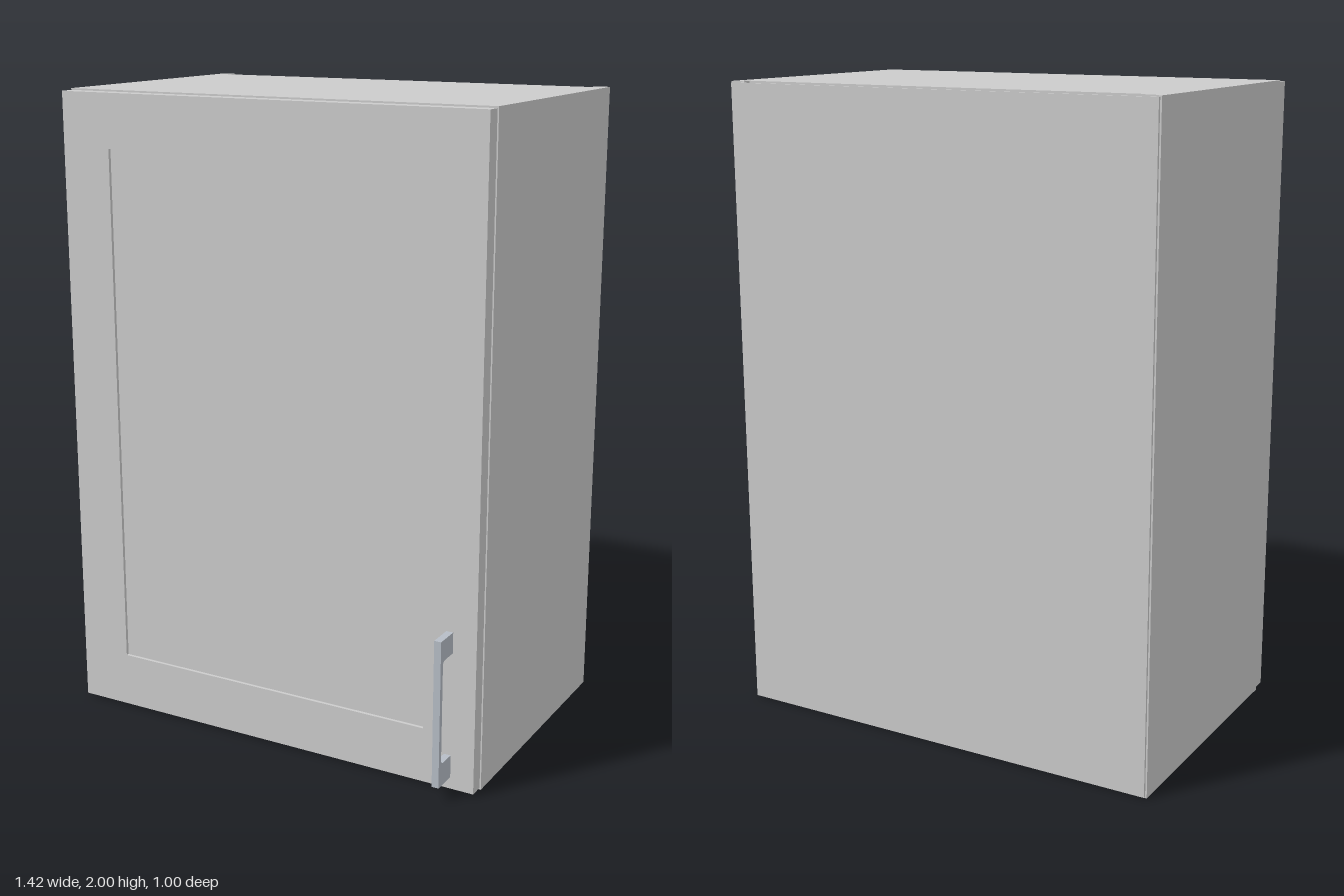
import * as THREE from 'three';

const grey = new THREE.MeshStandardMaterial({ color: 0xcccccc });
const steel = new THREE.MeshStandardMaterial({ color: 0xb6bdc6 });

// Box given by its minimum and maximum corners
function box(name, [x0, y0, z0], [x1, y1, z1]) {
  const mesh = new THREE.Mesh(new THREE.BoxGeometry(x1 - x0, y1 - y0, z1 - z0), grey);
  mesh.position.set((x0 + x1) / 2, (y0 + y1) / 2, (z0 + z1) / 2);
  mesh.name = name;
  return mesh;
}

function rectangle(Type, x0, y0, x1, y1) {
  return new Type([[x0, y0], [x1, y0], [x1, y1], [x0, y1]].map(p => new THREE.Vector2(...p)));
}

// Side board with a vertical groove near the rear edge, extruded upwards
function sidePanel(side) {
  const plan = [[0.71, -0.49], [0.71, 0.367], [0.662, 0.367], [0.662, -0.455],
    [0.685, -0.455], [0.685, -0.465], [0.662, -0.465], [0.662, -0.49]];
  const shape = new THREE.Shape(plan.map(([x, z]) => new THREE.Vector2(side * x, -z)));
  const geometry = new THREE.ExtrudeGeometry(shape, { depth: 2, bevelEnabled: false });
  geometry.rotateX(-Math.PI / 2);
  const mesh = new THREE.Mesh(geometry, grey);
  mesh.name = side > 0 ? 'leftSidePanel' : 'rightSidePanel';
  return mesh;
}

// Door: a frame around a slightly recessed centre panel
function door() {
  const group = new THREE.Group();
  group.name = 'door';
  const shape = rectangle(THREE.Shape, -0.707, 0.007, 0.707, 1.995);
  shape.holes.push(rectangle(THREE.Path, -0.54, 0.18, 0.54, 1.828));
  const frame = new THREE.Mesh(
    new THREE.ExtrudeGeometry(shape, { depth: 0.046, bevelEnabled: false }), grey);
  frame.position.z = 0.37;
  frame.name = 'doorFrame';
  group.add(frame, box('doorPanel', [-0.54, 0.18, 0.372], [0.54, 1.828, 0.406]));
  return group;
}

// Bracket pull: profile in the z-y plane, extruded across x
function handle() {
  const s = new THREE.Shape();
  const r = 0.015, zi = 0.482, zd = 0.416, low = 0.115, high = 0.44;
  s.moveTo(zd, 0.045);
  s.lineTo(0.497, 0.045);
  s.lineTo(0.497, 0.505);
  s.lineTo(zd, 0.505);
  s.lineTo(zd, high);
  s.lineTo(zi - r, high);
  s.quadraticCurveTo(zi, high, zi, high - r);
  s.lineTo(zi, low + r);
  s.quadraticCurveTo(zi, low, zi - r, low);
  s.lineTo(zd, low);
  s.closePath();
  const geometry = new THREE.ExtrudeGeometry(s, { depth: 0.022, bevelEnabled: false, curveSegments: 5 });
  geometry.rotateY(-Math.PI / 2);
  const mesh = new THREE.Mesh(geometry, steel);
  mesh.position.x = 0.632;
  mesh.name = 'handle';
  return mesh;
}

export function createModel() {
  const model = new THREE.Group();
  model.name = 'wallCabinet';
  model.add(sidePanel(1), sidePanel(-1));

  // Top and bottom boards stop short of the back, leaving a slot
  model.add(
    box('bottomPanel', [-0.662, 0, -0.455], [0.662, 0.045, 0.367]),
    box('topPanel', [-0.662, 1.955, -0.455], [0.662, 2, 0.367]),
    box('backPanel', [-0.705, 0.004, -0.498], [0.705, 1.996, -0.49]),
    box('doorSeal', [-0.7, 0.012, 0.366], [0.7, 1.985, 0.371]),
  );
  model.add(door(), handle());
  return model;
}
